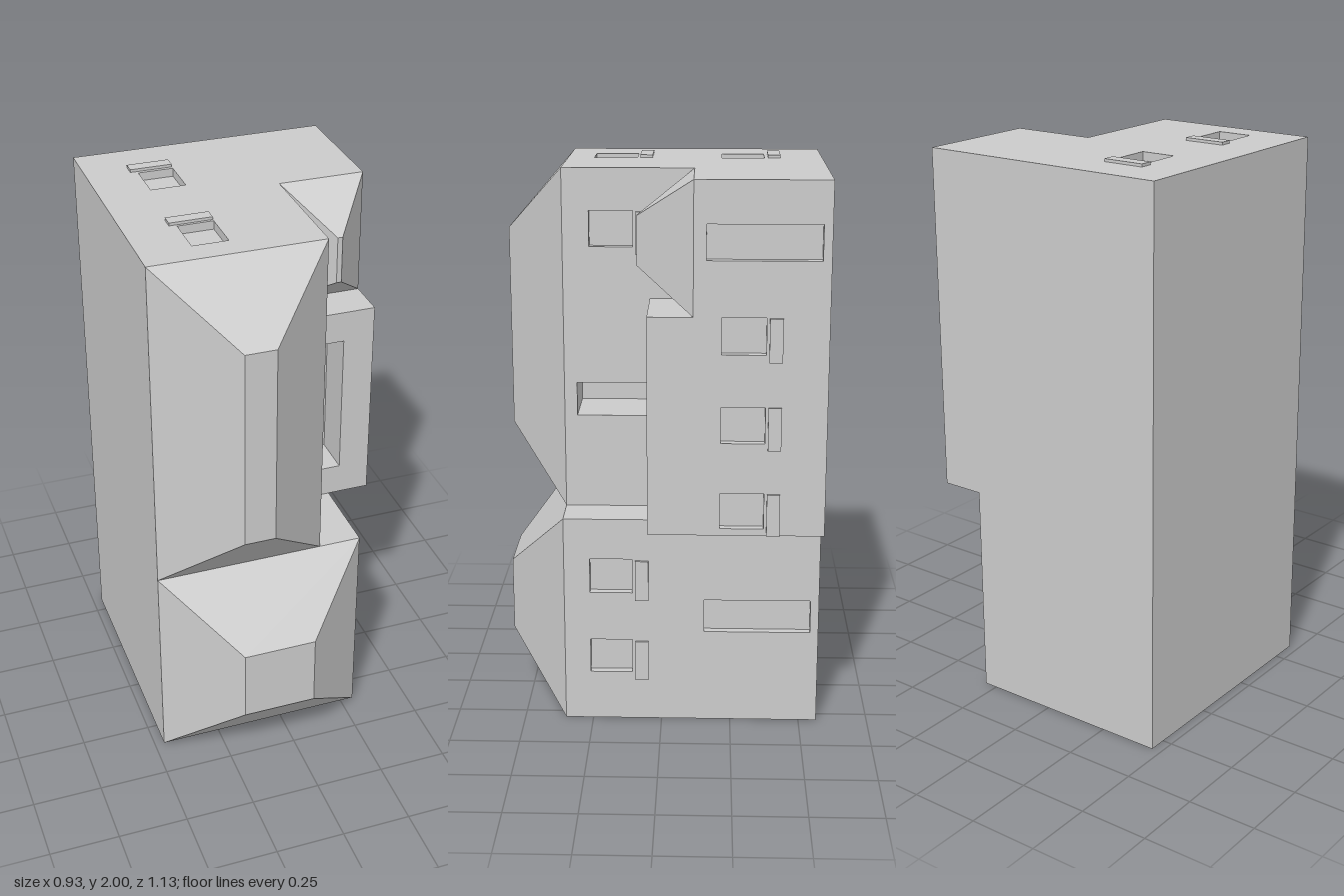
import * as THREE from 'three';

const concrete = new THREE.MeshStandardMaterial({ color: 0xcccccc });
concrete.name = 'concrete grey';
const DEPTH = 0.03; // window inset

export function createModel() {
  const model = new THREE.Group();
  model.name = 'towerBlock';

  const add = (name, geometry) => {
    const mesh = new THREE.Mesh(geometry, concrete);
    mesh.name = name;
    model.add(mesh);
  };

  const box = (name, x0, x1, y0, y1, z0, z1) => add(name,
    new THREE.BoxGeometry(x1 - x0, y1 - y0, z1 - z0)
      .translate((x0 + x1) / 2, (y0 + y1) / 2, (z0 + z1) / 2));

  // Rectangular plate with rectangular holes, each rectangle [u0, u1, v0, v1]
  const corners = ([u0, u1, v0, v1]) =>
    [[u0, v0], [u1, v0], [u1, v1], [u0, v1]].map(p => new THREE.Vector2(...p));
  const plate = (rect, holes, depth) => {
    const shape = new THREE.Shape(corners(rect));
    shape.holes = holes.map(h => new THREE.Path(corners(h)));
    return new THREE.ExtrudeGeometry(shape, { depth, bevelEnabled: false });
  };

  // Side wall facing +x; rectangles are [z0, z1, y0, y1]
  const sideWall = (name, x0, x1, rect, holes) => {
    const flip = ([z0, z1, y0, y1]) => [-z1, -z0, y0, y1];
    add(name, plate(flip(rect), holes.map(flip), x1 - x0).rotateY(Math.PI / 2).translate(x0, 0, 0));
  };

  // Tapered bay projecting to the front: base and tip are [x0, x1, y0, y1]
  const bay = (name, base, zBase, tip, zTip) => {
    const b = corners(base).map(p => [p.x, p.y, zBase]);
    const t = corners(tip).map(p => [p.x, p.y, zTip]);
    const quads = [t];
    for (let i = 0; i < 4; i++) {
      const j = (i + 1) % 4;
      quads.push([b[i], b[j], t[j], t[i]]);
    }
    const positions = quads.flatMap(([p, q, r, s]) => [p, q, r, p, r, s]).flat();
    const geometry = new THREE.BufferGeometry();
    geometry.setAttribute('position', new THREE.Float32BufferAttribute(positions, 3));
    geometry.computeVertexNormals();
    add(name, geometry);
  };

  const L = -0.465, BACK = -0.565, FRONT = 0.35, MID = 0.77, TOP = 1.99;
  const INNER = 0.145, LOW = 0.3, R = 0.455, STEP = -0.11;

  // Lower block
  box('lowerBlock', L, LOW - DEPTH, 0, MID, BACK, FRONT);
  sideWall('lowerSideWall', LOW - DEPTH, LOW, [BACK, FRONT, 0, MID], [
    [0.105, 0.257, 0.183, 0.31], [0.105, 0.257, 0.492, 0.62], [-0.535, -0.153, 0.345, 0.467],
  ]);
  for (const y of [0.155, 0.465]) box('lowerShutter', LOW, LOW + 0.01, y, y + 0.15, 0.047, 0.094);
  bay('lowerBay', [L, LOW, 0, MID], FRONT, [-0.215, 0.05, 0.25, 0.52], 0.565);

  // Upper main block: solid, then two layers around the deep slot and the window
  const roofY = TOP - DEPTH, slotX = -0.085;
  const slot = [-0.08, 0.305, 1.11, 1.23];
  box('upperBlock', L, slotX, MID, roofY, BACK, FRONT);
  sideWall('slotLayer', slotX, INNER - DEPTH, [BACK, FRONT, MID, roofY], [slot]);
  sideWall('upperSideWall', INNER - DEPTH, INNER, [BACK, FRONT, MID, roofY],
    [slot, [0.105, 0.257, 1.717, 1.843]]);
  box('upperShutter', INNER, INNER + 0.01, 1.69, 1.84, 0.047, 0.094);
  bay('upperBay', [L, INNER, MID, TOP], FRONT, [-0.215, -0.105, 1.015, 1.745], 0.565);

  // Roof with two skylights
  const skylights = [[-0.285, -0.16, -0.255, -0.1], [-0.285, -0.16, 0.205, 0.357]];
  add('roof', plate([L, INNER, -FRONT, -BACK], skylights, DEPTH)
    .rotateX(-Math.PI / 2).translate(0, roofY, 0));
  for (const z of [0.045, -0.415]) box('skylightShutter', -0.31, -0.16, TOP, 2, z, z + 0.045);

  // Rear wing
  box('rearWing', INNER, R - DEPTH, MID, TOP, BACK, STEP);
  const wingWindows = [0.795, 1.1, 1.408].map(y => [-0.355, -0.205, y, y + 0.127]);
  sideWall('wingSideWall', R - DEPTH, R, [BACK, STEP, MID, TOP],
    [...wingWindows, [-0.535, -0.153, 1.725, 1.845]]);
  for (const y of [0.771, 1.077, 1.383]) box('wingShutter', R, R + 0.01, y, y + 0.15, -0.41, -0.365);
  bay('wingBay', [INNER, R, 1.535, TOP], STEP, [0.288, 0.306, 1.68, 1.85], 0.083);

  // C-shaped balcony frame in front of the wing
  const frame = new THREE.Shape([
    [INNER, MID], [R, MID], [R, 1.535], [INNER, 1.535],
    [INNER, 1.42], [0.34, 1.42], [0.34, 0.885], [INNER, 0.885],
  ].map(p => new THREE.Vector2(...p)));
  add('balconyFrame', new THREE.ExtrudeGeometry(frame, { depth: 0.155, bevelEnabled: false })
    .translate(0, 0, STEP));

  return model;
}
